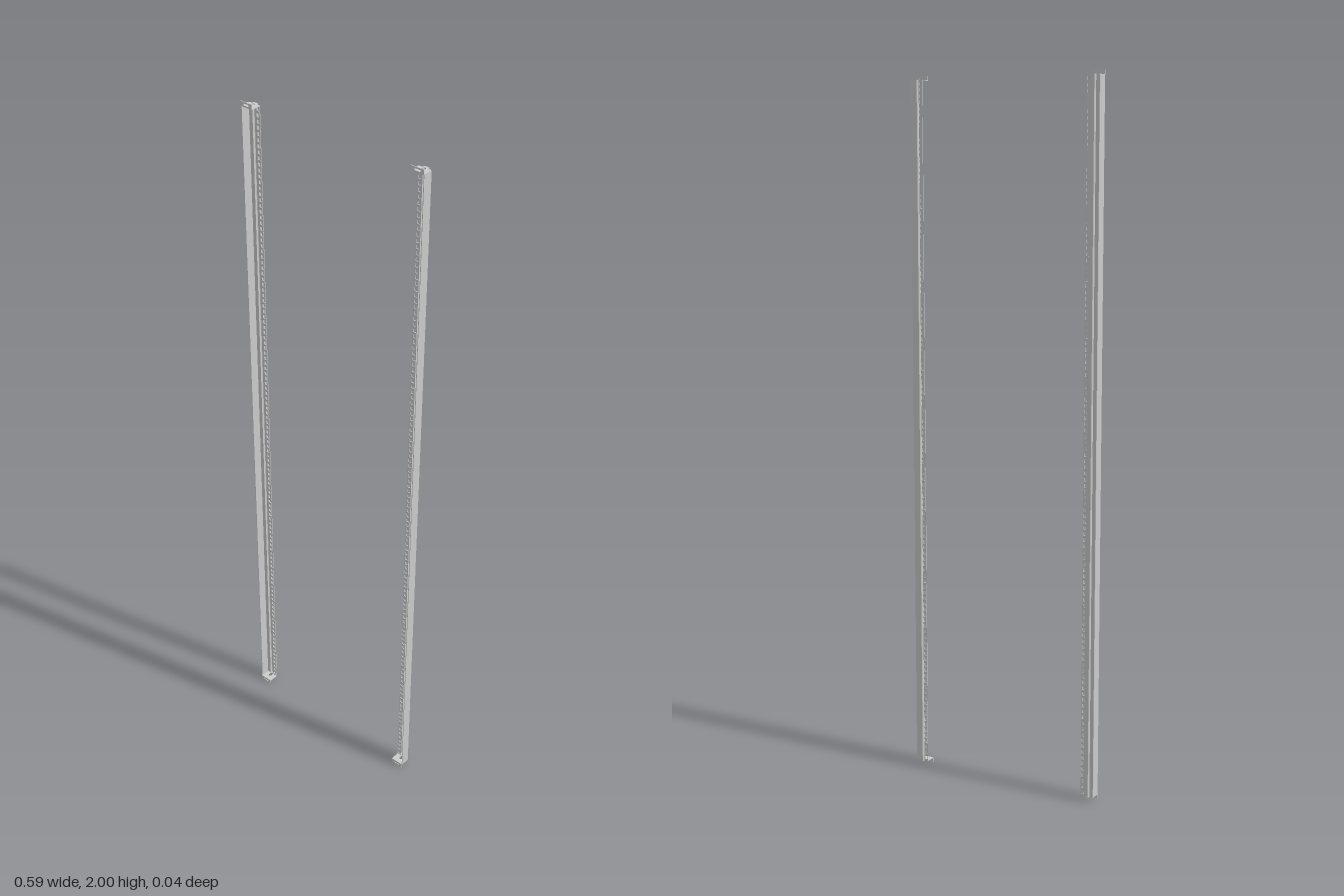
import * as THREE from 'three';

const mat = new THREE.MeshStandardMaterial({ color: 0xcccccc, flatShading: true, side: THREE.DoubleSide });
const T = 0.002;         // sheet thickness
const END = 0.014;       // gap from rail end to overall end
const HALF = 0.0195;     // half width of one rail
const RAIL_X = 0.275;

const shapeOf = pts => new THREE.Shape(pts.map(p => new THREE.Vector2(...p)));
const rectPath = (x, y, w, h) => new THREE.Path([
  new THREE.Vector2(x - w / 2, y - h / 2), new THREE.Vector2(x - w / 2, y + h / 2),
  new THREE.Vector2(x + w / 2, y + h / 2), new THREE.Vector2(x + w / 2, y - h / 2),
]);

function extrude(name, shape, depth) {
  const geo = new THREE.ExtrudeGeometry(shape, { depth, bevelEnabled: false, curveSegments: 8 });
  const mesh = new THREE.Mesh(geo, mat);
  mesh.name = name;
  return mesh;
}

// Slot with round ends along y
function slotPath(w, y0, y1) {
  const r = w / 2, p = new THREE.Path();
  p.absarc(0, y1 - r, r, 0, Math.PI, false);
  p.absarc(0, y0 + r, r, Math.PI, Math.PI * 2, false);
  p.closePath();
  return p;
}

// End bracket: slotted horizontal plate and upright front flange; dir = 1 top, -1 bottom
function makeBracket(dir) {
  const g = new THREE.Group();
  g.name = dir > 0 ? 'topBracket' : 'bottomBracket';
  const plate = shapeOf([
    [-HALF, -0.017], [HALF, -0.017], [HALF, 0.010], [HALF - 0.003, 0.013], [0.008, 0.013],
    [0.008, 0.018], [0.006, 0.020], [-0.006, 0.020], [-0.008, 0.018], [-0.008, 0.013], [-HALF, 0.013],
  ]);
  plate.holes.push(slotPath(0.01, -0.003, 0.013));
  const plateMesh = extrude('bracketPlate', plate, T);
  plateMesh.rotation.x = -Math.PI / 2;
  plateMesh.position.y = dir > 0 ? 2 - END : END - T;
  const y0 = dir > 0 ? 2 - END : 0;
  const flange = shapeOf([[-HALF, y0], [HALF, y0], [HALF, y0 + END], [-HALF, y0 + END]]);
  flange.holes.push(rectPath(0, y0 + END / 2, 0.018, 0.005));
  const flangeMesh = extrude('bracketFlange', flange, T);
  flangeMesh.position.z = 0.017 - T;
  g.add(plateMesh, flangeMesh);
  return g;
}

function makeRail(name) {
  const g = new THREE.Group();
  g.name = name;
  const length = 2 - 2 * END;

  // Bent sheet: raised rib, back web and outer side wall
  const channel = extrude('channel', shapeOf([
    [-0.008, 0.011], [-0.006, 0.011], [-0.006, 0.017], [-0.005, 0.018], [0.005, 0.018],
    [0.006, 0.017], [0.006, 0.011], [HALF - T, 0.011], [HALF - T, -0.015], [HALF, -0.015],
    [HALF, 0.012], [HALF - 0.001, 0.013], [0.008, 0.013], [0.008, 0.018], [0.006, 0.020],
    [-0.006, 0.020], [-0.008, 0.018],
  ]), length);
  channel.rotation.x = -Math.PI / 2;
  channel.position.y = END;

  // Inner mounting strip with a row of square holes
  const strip = shapeOf([[-HALF, END], [-0.008, END], [-0.008, 2 - END], [-HALF, 2 - END]]);
  const count = 117, pitch = length / count;
  for (let i = 0; i < count; i++) {
    strip.holes.push(rectPath(-0.0132, END + pitch * (i + 0.5), 0.0085, 0.0095));
  }
  const stripMesh = extrude('mountingStrip', strip, T);
  stripMesh.position.z = -0.013;

  g.add(channel, stripMesh, makeBracket(1), makeBracket(-1));
  return g;
}

export function createModel() {
  const model = new THREE.Group();
  model.name = 'mountingRails';
  const left = makeRail('leftRail');
  left.position.x = RAIL_X;
  // The rail is symmetric top to bottom, so a half turn gives its mirror image
  const right = makeRail('rightRail');
  right.rotation.z = Math.PI;
  right.position.set(-RAIL_X, 2, 0);
  model.add(left, right);
  return model;
}
